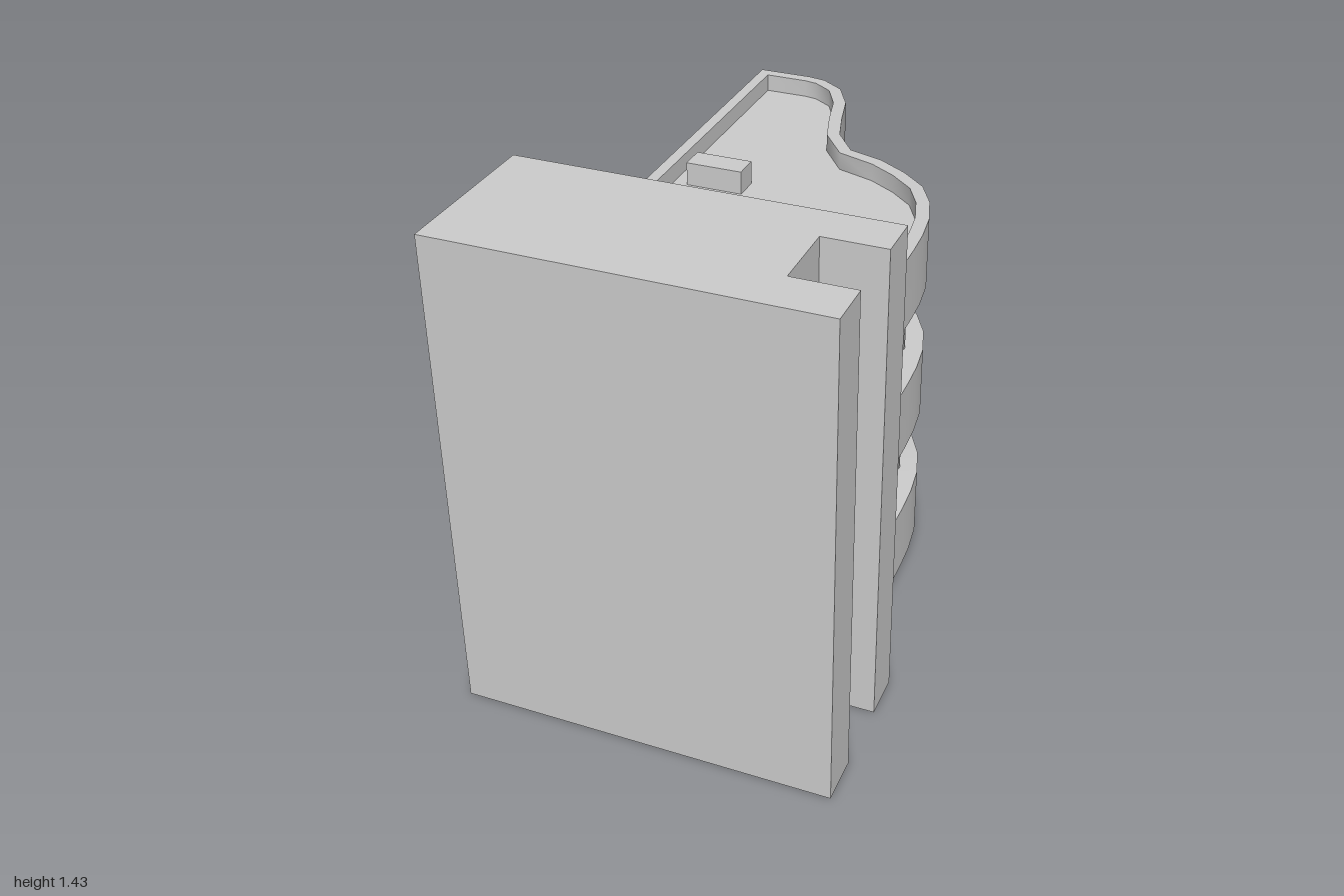
import * as THREE from 'three';
import { toCreasedNormals } from 'three/addons/utils/BufferGeometryUtils.js';

const material = new THREE.MeshStandardMaterial({ color: 0xcccccc, side: THREE.DoubleSide });

// Plan curve of the wing, [x, z], from the back left corner round to the tower
const outline = [
  [-0.47, -1], [-0.3, -1], [-0.245, -0.99], [-0.17, -0.94], [-0.115, -0.84],
  [-0.085, -0.72], [-0.05, -0.605], [0.02, -0.51], [0.13, -0.475], [0.22, -0.42],
  [0.3, -0.35], [0.35, -0.26], [0.38, -0.16], [0.393, -0.06], [0.397, 0.03], [0.4, 0.53],
];

// Move a plan curve inwards by a distance that may change along it
function inset(path, from, to) {
  return path.map(([x, z], i) => {
    const a = path[Math.max(i - 1, 0)], b = path[Math.min(i + 1, path.length - 1)];
    const dx = b[0] - a[0], dz = b[1] - a[1], length = Math.hypot(dx, dz);
    const d = THREE.MathUtils.lerp(from, to, Math.min(1, i / 4));
    const end = i === path.length - 1;
    return [x - (dz / length) * d, end ? z : z + (dx / length) * d];
  });
}

// Surface between two plan curves at two heights
function ribbon(pathA, yA, pathB, yB) {
  const positions = [], index = [], n = pathA.length;
  pathA.forEach(([x, z]) => positions.push(x, yA, z));
  pathB.forEach(([x, z]) => positions.push(x, yB, z));
  for (let i = 0; i < n - 1; i++) index.push(i, n + i, n + i + 1, i, n + i + 1, i + 1);
  const geometry = new THREE.BufferGeometry();
  geometry.setAttribute('position', new THREE.Float32BufferAttribute(positions, 3));
  geometry.setIndex(index);
  return toCreasedNormals(geometry, 0.7);
}

function add(parent, name, geometry) {
  const mesh = new THREE.Mesh(geometry, material);
  mesh.name = name;
  parent.add(mesh);
  return mesh;
}

// Box given by its limits
function block(parent, name, x0, x1, y0, y1, z0, z1) {
  const mesh = add(parent, name, new THREE.BoxGeometry(x1 - x0, y1 - y0, z1 - z0));
  mesh.position.set((x0 + x1) / 2, (y0 + y1) / 2, (z0 + z1) / 2);
  return mesh;
}

function shapeOf(points) {
  return new THREE.Shape(points.map(([x, y]) => new THREE.Vector2(x, y)));
}

function createTower() {
  const tower = new THREE.Group();
  tower.name = 'tower';
  const H = 1.43;
  block(tower, 'frontSlab', -0.53, 0.53, 0, H, 0.865, 1);
  block(tower, 'backSlab', -0.53, 0.53, 0, H, 0.53, 0.66);

  // Hollow middle between the slabs: roof, left wall and recessed right wall
  const roof = add(tower, 'towerRoof', new THREE.PlaneGeometry(0.885, 0.205).rotateX(-Math.PI / 2));
  roof.position.set(-0.0875, H, 0.7625);
  const side = add(tower, 'towerLeftWall', new THREE.PlaneGeometry(0.205, H).rotateY(-Math.PI / 2));
  side.position.set(-0.53, H / 2, 0.7625);
  const levels = [0, 0.21, 0.62, 0.825, 1.235, H];
  for (let i = 0; i < 5; i++) {
    const height = levels[i + 1] - levels[i];
    const panel = add(tower, i % 2 ? 'stairWindow' : 'recessWall',
      new THREE.PlaneGeometry(0.205, height).rotateY(Math.PI / 2));
    panel.position.set(i % 2 ? 0.357 : 0.355, levels[i] + height / 2, 0.7625);
  }
  return tower;
}

function createWing() {
  const wing = new THREE.Group();
  wing.name = 'wing';
  const glass = inset(outline, 0.1, 0.06);

  // Curved bands
  for (const [y0, y1] of [[0, 0.22], [0.44, 0.66], [0.87, 1.09]]) {
    add(wing, 'curvedBand', ribbon(outline, y0, outline, y1));
  }

  // Recessed window rows with sill, soffit and mullions
  const track = new THREE.CatmullRomCurve3(
    glass.map(([x, z]) => new THREE.Vector3(x, 0, z)), false, 'catmullrom', 0);
  const count = Math.round(track.getLength() / 0.115);
  for (const [y0, y1, rise] of [[0.22, 0.44, 0.012], [0.66, 0.87, 0]]) {
    const top = y1 + (rise ? 0 : 0.006);
    add(wing, 'windowRow', ribbon(glass, y0 + rise, glass, top));
    add(wing, 'sill', ribbon(outline, y0, glass, y0 + rise));
    add(wing, 'soffit', ribbon(glass, top, outline, y1));
    for (const p of track.getSpacedPoints(count).slice(1, -1)) {
      block(wing, 'mullion', p.x - 0.006, p.x + 0.006, y0 + rise, top, p.z - 0.006, p.z + 0.006);
    }
  }

  // Flat left wall, notched at the window rows
  const e = -0.9;
  const wall = shapeOf([
    [0.53, 0], [0.53, 1.09], [-1, 1.09], [-1, 0.87], [e, 0.876], [e, 0.66], [-1, 0.66],
    [-1, 0.44], [e, 0.44], [e, 0.232], [-1, 0.22], [-1, 0],
  ]);
  add(wing, 'leftWall', new THREE.ShapeGeometry(wall).rotateY(-Math.PI / 2)).position.x = -0.47;

  // Parapet and sunken roof
  const inner = inset(outline, 0.037, 0.04);
  inner[0][0] = -0.435;
  const rim = [[-0.47, 0.53], ...outline];
  const innerRim = [[-0.435, 0.53], ...inner];
  add(wing, 'parapetTop', ribbon(rim, 1.09, innerRim, 1.09));
  add(wing, 'parapetInside', ribbon(innerRim, 1.09, innerRim, 1.035));
  const roof = shapeOf(innerRim.map(([x, z]) => [x, -z]));
  add(wing, 'roof', new THREE.ShapeGeometry(roof).rotateX(-Math.PI / 2)).position.y = 1.035;

  // Roof boxes: one closed, one an open shaft
  block(wing, 'roofBox', -0.39, -0.215, 1.035, 1.107, -0.29, -0.21);
  const shaft = shapeOf([[-0.4, -0.33], [-0.23, -0.33], [-0.23, -0.25], [-0.4, -0.25]]);
  shaft.holes.push(shapeOf([[-0.375, -0.315], [-0.375, -0.26], [-0.255, -0.26], [-0.255, -0.315]]));
  const shaftGeometry = new THREE.ExtrudeGeometry(shaft, { depth: 0.072, bevelEnabled: false });
  add(wing, 'roofShaft', shaftGeometry.rotateX(-Math.PI / 2)).position.y = 1.035;
  return wing;
}

export function createModel() {
  const model = new THREE.Group();
  model.name = 'building';
  model.add(createTower(), createWing());
  return model;
}
